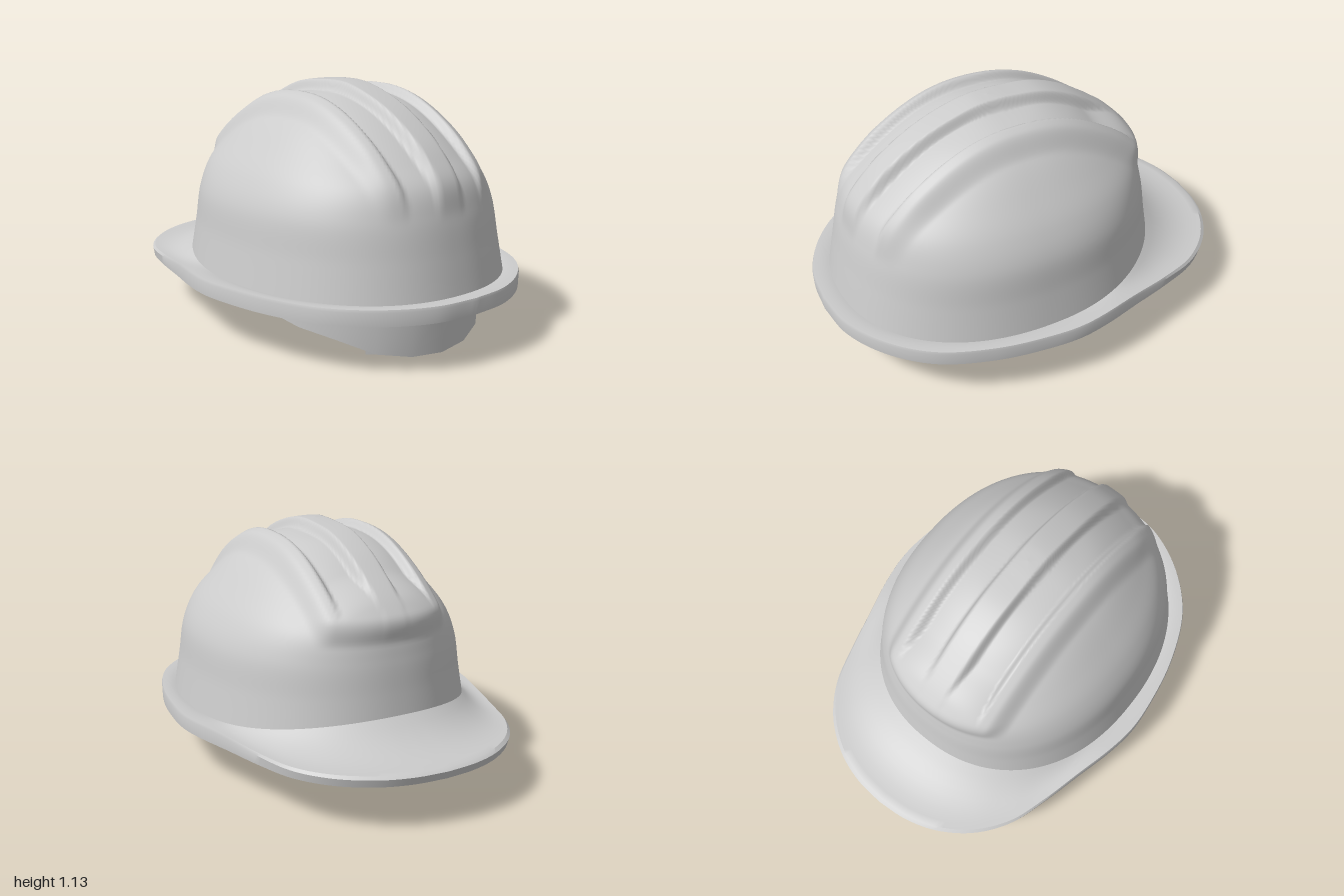
import * as THREE from 'three';
import { toCreasedNormals } from 'three/addons/utils/BufferGeometryUtils.js';

const SEG = 256, ZC = 0.13;
const { lerp, smoothstep, clamp } = THREE.MathUtils;
const curve = (pts) => new THREE.CatmullRomCurve3(pts.map(([a, b]) => new THREE.Vector3(a, b, 0)));

// Dome profiles (distance from axis, height), rim to crown: sides, back (+z), visor end (-z)
const sideProfile = curve([[.655, .29], [.63, .45], [.605, .62], [.55, .74], [.46, .86], [.36, .97], [.28, 1.03], [.2, 1.06], [.08, 1.08], [0, 1.085]]);
const backProfile = curve([[.78, .29], [.75, .45], [.715, .62], [.67, .74], [.58, .83], [.45, .93], [.33, 1.0], [.2, 1.05], [.08, 1.08], [0, 1.085]]);
const visorProfile = curve([[.77, .38], [.755, .48], [.735, .62], [.705, .74], [.63, .83], [.5, .93], [.38, 1.005], [.24, 1.06], [.08, 1.08], [0, 1.085]]);

// Half outline of the brim (x, z), back to visor tip, sampled as radius by angle
const outline = curve([[0, .995], [.2, .97], [.4, .87], [.57, .7], [.68, .45], [.73, .2], [.74, .05], [.72, -.1], [.67, -.3],
  [.62, -.5], [.56, -.68], [.45, -.83], [.3, -.935], [.15, -.985], [0, -1]]).getPoints(300)
  .map((p) => ({ angle: Math.atan2(p.y - ZC, Math.abs(p.x)), r: Math.hypot(p.x, p.y - ZC) }));

function brimRadius(x, z) {
  const angle = Math.atan2(z - ZC, Math.abs(x));
  const i = outline.findIndex((p) => p.angle <= angle);
  if (i <= 0) return outline[i === 0 ? 0 : outline.length - 1].r;
  const a = outline[i - 1], b = outline[i];
  return lerp(a.r, b.r, (a.angle - angle) / (a.angle - b.angle || 1));
}

// Height of the three ribs, which merge into one raised panel at the visor end
function ribHeight(x, y, z) {
  const ax = Math.abs(x);
  const centre = 0.047 * (1 - smoothstep(ax, .055, .085));
  const side = 0.045 * smoothstep(ax, .205, .235) * (1 - smoothstep(ax, .27, .35));
  const panel = 0.045 * (1 - smoothstep(ax, .25, .34)) * smoothstep(-z, .32, .5);
  const fade = lerp(smoothstep(y, .69, .79), smoothstep(y, .6, .9), smoothstep(z, -.3, .3));
  return Math.max(centre, side, panel) * fade;
}

// Point on the dome; inset gives the inner skin
function domePoint(a, t, inset = 0) {
  const c = Math.cos(a), s = Math.sin(a), k = 2 / 2.2;
  const px = sideProfile.getPoint(t), pz = (s > 0 ? backProfile : visorProfile).getPoint(t);
  const p = new THREE.Vector3(
    px.x * Math.sign(c) * Math.abs(c) ** k,
    lerp(px.y, pz.y, s * s),
    ZC + pz.x * Math.sign(s) * Math.abs(s) ** k);
  const out = new THREE.Vector3(p.x * .3, p.y - .4, p.z - ZC);
  if (p.y > .55) p.addScaledVector(out.normalize(), ribHeight(p.x, p.y, p.z));
  if (inset) {
    p.x *= 1 - inset * 1.5;
    p.z = ZC + (p.z - ZC) * (1 - inset * 1.4);
    p.y -= inset * smoothstep(t, 0, .5);
  }
  return p;
}

// Point on the brim: f runs from the dome foot (0) to the outer edge (1)
function brimPoint(a, f, kind) {
  const foot = domePoint(a, 0, 0);
  const dx = foot.x, dz = foot.z - ZC, r0 = Math.hypot(dx, dz);
  const r = lerp(r0, brimRadius(foot.x, foot.z), f);
  const w = smoothstep(-Math.sin(a), .25, .85);
  const edge = lerp(.297, .262, w);
  const top = lerp(foot.y, edge, 1 - (1 - clamp(f, 0, 1)) ** 2.5);
  let y = top;
  if (kind === 'lip') y = edge - .012;
  if (kind === 'bottom') y = lerp(.225, .215, w);
  if (kind === 'under') y = lerp(.228, top - .03, w);
  return new THREE.Vector3(dx * r / r0, y, ZC + dz * r / r0);
}

// Closed rings of points joined into a smooth skin
function loft(rings) {
  const pos = [], index = [];
  rings.forEach((ring, i) => {
    for (let j = 0; j < SEG; j++) {
      const p = ring(j / SEG * Math.PI * 2);
      pos.push(p.x, p.y, p.z);
      if (i === rings.length - 1) continue;
      const a = i * SEG + j, b = i * SEG + (j + 1) % SEG;
      index.push(a, a + SEG, b, b, a + SEG, b + SEG);
    }
  });
  const g = new THREE.BufferGeometry();
  g.setAttribute('position', new THREE.Float32BufferAttribute(pos, 3));
  g.setIndex(index);
  g.computeVertexNormals();
  return g;
}

// Piecewise-linear lookup
function table(rows, v) {
  for (let i = 1; i < rows.length; i++) {
    const [v0, y0] = rows[i - 1], [v1, y1] = rows[i];
    if (v >= v1) return lerp(y0, y1, clamp((v - v0) / (v1 - v0), 0, 1));
  }
  return rows[rows.length - 1][1];
}

// Upright strip through points of {x, z, low, high}
function strip(points) {
  const pos = [], index = [];
  points.forEach(({ x, z, low, high }, i) => {
    pos.push(x, low, z, x, high, z);
    if (i) index.push(2 * i - 2, 2 * i - 1, 2 * i, 2 * i, 2 * i - 1, 2 * i + 1);
  });
  const g = new THREE.BufferGeometry();
  g.setAttribute('position', new THREE.Float32BufferAttribute(pos, 3));
  g.setIndex(index);
  return toCreasedNormals(g, .5);
}

export function createModel() {
  const group = new THREE.Group();
  const grey = new THREE.MeshStandardMaterial({ color: 0xcccccc });
  const thin = new THREE.MeshStandardMaterial({ color: 0xcccccc, side: THREE.DoubleSide });
  const add = (name, geometry, material = grey) => {
    const mesh = new THREE.Mesh(geometry, material);
    mesh.name = name;
    group.add(mesh);
  };

  // Ribbed dome and its inner skin
  const ROWS = 80, INNER = 40;
  add('dome', loft(Array.from({ length: ROWS + 1 }, (_, i) => (a) => domePoint(a, i / ROWS))));
  add('domeLining', loft(Array.from({ length: INNER + 1 }, (_, i) => (a) => domePoint(a, 1 - i / INNER, .02))));

  // Brim and visor: underside, lip, then the top back to the dome
  const brim = [(a) => domePoint(a, 0, .02)];
  for (const f of [.1, .35, .6, .85]) brim.push((a) => brimPoint(a, f, 'under'));
  brim.push((a) => brimPoint(a, .97, 'bottom'), (a) => brimPoint(a, 1, 'lip'));
  for (const f of [.95, .85, .72, .6, .48, .36, .24, .12, 0]) brim.push((a) => brimPoint(a, f, 'top'));
  add('brim', toCreasedNormals(loft(brim), .6));

  // Headband, dipping below the rim at the back
  const low = [[.8, 0], [.7, .04], [.6, .1], [.4, .16], [.28, .2], [0, .215], [-.55, .23]];
  const high = [[.8, .2], [.7, .21], [.4, .3], [0, .37], [-.55, .39]];
  const bandPoint = (a, scale = 1) => {
    const x = .61 * Math.cos(a) * scale, z0 = .125 + .675 * Math.sin(a);
    return { x, z: .125 + (z0 - .125) * scale, low: table(low, z0), high: table(high, z0) };
  };
  add('headband', strip(Array.from({ length: 25 }, (_, i) => bandPoint(Math.PI / 2 + i / 24 * Math.PI * 2))), thin);

  // Overlapping adjuster strap inside the back of the band
  add('adjusterStrap', strip(Array.from({ length: 8 }, (_, i) => {
    const p = bandPoint(lerp(1.05, 2.16, i / 7), .965);
    return { ...p, low: Math.max(.015, Math.min(p.low, .03)), high: .19 };
  })), thin);

  return group;
}
